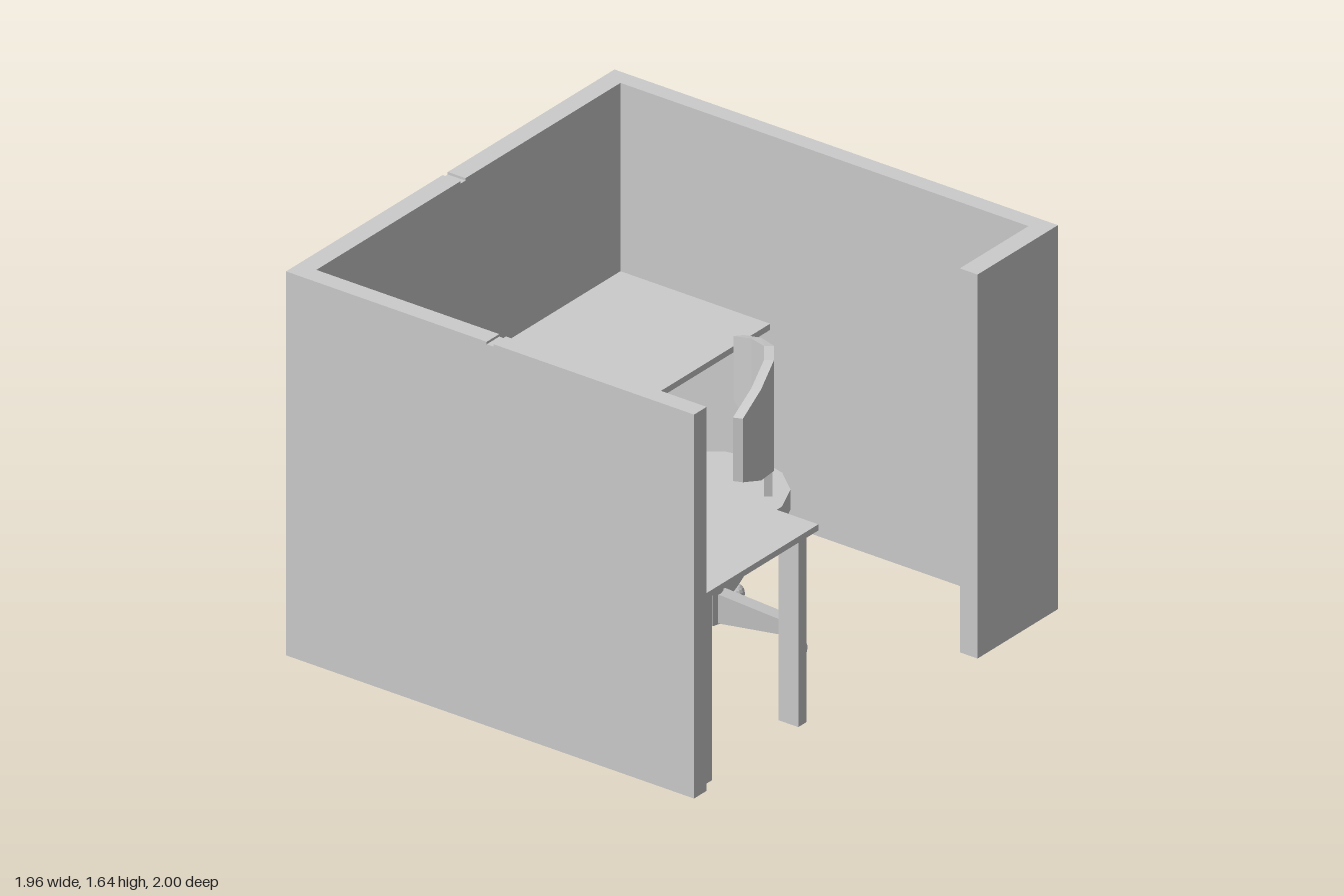
import * as THREE from 'three';

const mat = new THREE.MeshStandardMaterial({ color: 0xcccccc, flatShading: true });

function add(parent, name, geometry, x = 0, y = 0, z = 0) {
  const m = new THREE.Mesh(geometry, mat);
  m.name = name;
  m.position.set(x, y, z);
  parent.add(m);
  return m;
}

// Box given by its minimum and maximum on each axis
function span(parent, name, x0, x1, y0, y1, z0, z1) {
  return add(parent, name, new THREE.BoxGeometry(x1 - x0, y1 - y0, z1 - z0),
    (x0 + x1) / 2, (y0 + y1) / 2, (z0 + z1) / 2);
}

// Solid lofted through rings of equal point count
function loft(rings) {
  const n = rings[0].length, index = [];
  for (let i = 0; i < rings.length - 1; i++) {
    for (let j = 0; j < n; j++) {
      const a = i * n + j, b = i * n + (j + 1) % n;
      index.push(a, b, a + n, b, b + n, a + n);
    }
  }
  const last = (rings.length - 1) * n;
  for (let j = 1; j < n - 1; j++) {
    index.push(0, j + 1, j, last, last + j, last + j + 1);
  }
  const g = new THREE.BufferGeometry();
  g.setAttribute('position', new THREE.Float32BufferAttribute(rings.flat(2), 3));
  g.setIndex(index);
  const flat = g.toNonIndexed();
  flat.computeVertexNormals();
  return flat;
}

function buildWalls() {
  const walls = new THREE.Group();
  walls.name = 'partitionWalls';
  const lo = 0.08, hi = 1.64, seam = 1.63;
  // Back wall: two panels with a shallow notch at the joint
  span(walls, 'backPanelRight', -0.98, -0.045, lo, hi, -1, -0.92);
  span(walls, 'backPanelJoint', -0.045, -0.015, lo, seam, -1, -0.92);
  span(walls, 'backPanelLeft', -0.015, 0.98, lo, hi, -1, -0.92);
  // Side wall with the same joint
  span(walls, 'sidePanelRear', -0.98, -0.905, lo, hi, -0.92, -0.095);
  span(walls, 'sidePanelJoint', -0.98, -0.905, lo, seam, -0.095, -0.065);
  span(walls, 'sidePanelFront', -0.98, -0.905, lo, hi, -0.065, 0.84);
  // Long side wall and the short return beside the entrance
  span(walls, 'longSideWall', 0.91, 0.98, lo, hi, -0.92, 1);
  span(walls, 'returnWall', 0.5, 0.91, lo, hi, 0.92, 1);
  return walls;
}

function buildDesk() {
  const desk = new THREE.Group();
  desk.name = 'cornerDesk';
  span(desk, 'sideDesktop', -0.905, -0.225, 0.85, 0.875, -0.92, 0.83);
  span(desk, 'backDesktop', -0.225, 0.91, 0.85, 0.875, -0.92, -0.245);
  // Legs: x range, z range
  const legs = [
    [-0.87, -0.82, 0.71, 0.8], [-0.305, -0.255, 0.71, 0.8],
    [-0.87, -0.82, -0.91, -0.82], [-0.305, -0.255, -0.34, -0.29],
    [0.81, 0.88, -0.34, -0.29], [0.81, 0.88, -0.9, -0.85],
  ];
  for (const [x0, x1, z0, z1] of legs) span(desk, 'deskLeg', x0, x1, 0.075, 0.85, z0, z1);
  return desk;
}

function buildChair() {
  const chair = new THREE.Group();
  chair.name = 'swivelChair';
  chair.position.set(0.12, 0, 0.065);

  // Four-armed base with ball casters
  const side = new THREE.Shape([[0.03, 0.11], [0.28, 0.1], [0.365, 0.1], [0.365, 0.138], [0.06, 0.225], [0.03, 0.225]]
    .map(([x, y]) => new THREE.Vector2(x, y)));
  const armGeo = new THREE.ExtrudeGeometry(side, { depth: 0.06, bevelEnabled: false });
  armGeo.translate(0, 0, -0.03);
  for (let i = 0; i < 4; i++) {
    const arm = new THREE.Group();
    arm.name = 'baseArm';
    arm.rotation.y = 0.35 - Math.PI / 2 + i * Math.PI / 2;
    add(arm, 'armBeam', armGeo);
    add(arm, 'casterStem', new THREE.CylinderGeometry(0.016, 0.016, 0.04, 8), 0.34, 0.085, 0);
    add(arm, 'caster', new THREE.SphereGeometry(0.039, 14, 10), 0.34, 0.039, 0);
    chair.add(arm);
  }

  // Gas column, mechanism and lever
  add(chair, 'hub', new THREE.CylinderGeometry(0.062, 0.062, 0.275, 12), 0, 0.2425, 0);
  add(chair, 'column', new THREE.CylinderGeometry(0.02, 0.02, 0.16, 10), 0, 0.45, 0);
  add(chair, 'columnCollar', new THREE.CylinderGeometry(0.062, 0.05, 0.035, 12), 0, 0.5325, 0);
  span(chair, 'leverRod', -0.2, 0, 0.53, 0.545, 0, 0.015);
  span(chair, 'leverHandle', -0.31, -0.19, 0.517, 0.535, -0.012, 0.027);

  // Seat and back turned towards the desk corner
  const upper = new THREE.Group();
  upper.name = 'seatAndBack';
  upper.rotation.y = 0.6435;
  add(upper, 'seat', new THREE.CylinderGeometry(0.302, 0.302, 0.08, 14), 0, 0.59, 0);
  add(upper, 'backPost', new THREE.BoxGeometry(0.105, 0.16, 0.03), 0, 0.69, 0.222);

  // Curved backrest; stations: across, depth, bottom, top
  const half = [[0.055, 0.243, 0.735, 1.185], [0.2, 0.197, 0.772, 1.142], [0.325, 0.132, 0.83, 1.088]];
  const stations = [...half.map(([u, ...r]) => [-u, ...r]).reverse(), ...half];
  const rings = stations.map(([u, w, b, t]) => {
    const v = u * 0.97, d = w - 0.036;
    return [[v, b, d], [v, t, d], [u, t, w], [u, b, w]].reverse();
  });
  const back = add(upper, 'backrest', loft(rings));
  back.material = mat.clone();
  back.material.side = THREE.DoubleSide;
  chair.add(upper);
  return chair;
}

export function createModel() {
  const model = new THREE.Group();
  model.name = 'officeCubicle';
  model.add(buildWalls(), buildDesk(), buildChair());
  return model;
}
